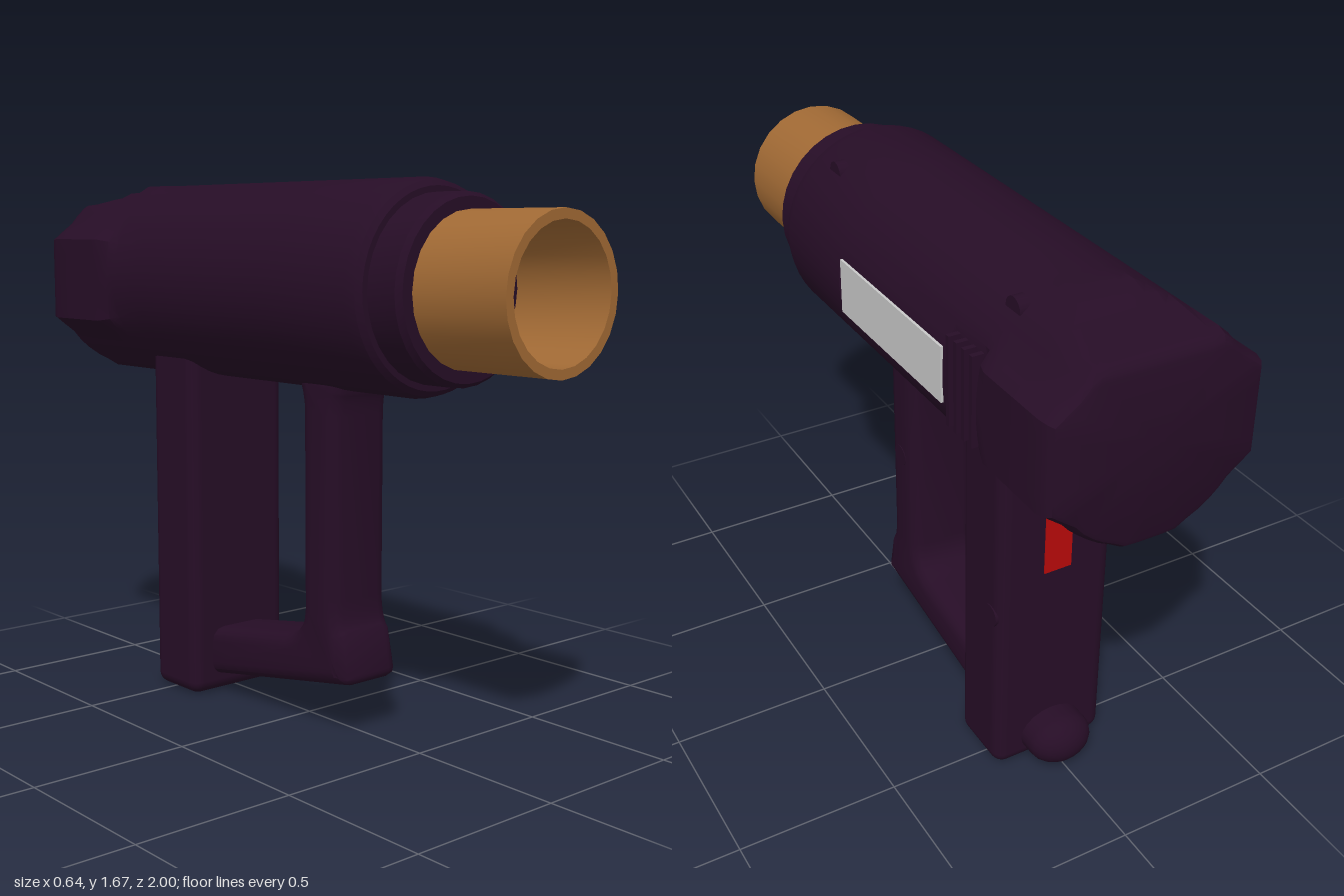
import * as THREE from 'three';
import { toCreasedNormals } from 'three/addons/utils/BufferGeometryUtils.js';
import { RoundedBoxGeometry } from 'three/addons/geometries/RoundedBoxGeometry.js';

const AXIS_Y = 1.362; // height of the barrel axis
const R = 0.31;       // barrel radius

const material = (name, color) => {
  const m = new THREE.MeshStandardMaterial({ color });
  m.name = name;
  return m;
};

// Radius of the housing at an angle: round at the front (k = 0), flat-sided at the rear (k = 1)
function housingRadius(angle, k) {
  const c = Math.abs(Math.cos(angle)) + 1e-6, s = Math.abs(Math.sin(angle)) + 1e-6;
  const flat = Math.max(R, Math.min(0.32 / c, 0.297 / (0.588 * c + 0.809 * s), R / s));
  return R + (flat - R) * k;
}

// Housing lofted front to back; each ring is [z, scale, rear blend, top limit, left side limit]
function housingGeometry() {
  const rings = [
    [0.55, 0, 0, 1, 1], [0.55, 0.92, 0, 1, 1], [0.535, 0.97, 0, 1, 1], [0.5, 1, 0, 1, 1],
    [0.15, 1, 0, 1, 1], [0.145, 1, 0, 1, 0.302],
    [-0.475, 1, 0, 1, 0.302], [-0.478, 1, 0, 1, 0.275],
    [-0.62, 1, 0, 1, 0.275], [-0.65, 1, 0.4, 1, 0.275], [-0.655, 1, 0.5, 1, 1],
    [-0.70, 1, 1, 1, 1], [-0.74, 1, 1, 0.308, 1], [-0.79, 1, 1, 0.285, 1],
    [-0.83, 1, 1, 0.265, 1], [-0.95, 1, 1, 0.25, 1], [-0.98, 0.975, 1, 0.24, 1],
    [-0.995, 0.94, 1, 0.225, 1], [-1, 0.9, 1, 0.21, 1], [-1, 0, 1, 1, 1],
  ];
  const N = 48, pos = [], idx = [];
  for (const [z, scale, k, top, side] of rings) {
    for (let j = 0; j < N; j++) {
      const a = (j / N) * Math.PI * 2, r = housingRadius(a, k) * scale;
      pos.push(Math.min(r * Math.cos(a), side), AXIS_Y + Math.min(r * Math.sin(a), top), z);
    }
  }
  for (let i = 0; i < rings.length - 1; i++) {
    for (let j = 0; j < N; j++) {
      const a = i * N + j, b = i * N + (j + 1) % N;
      if (i > 0) idx.push(a, a + N, b);
      if (i < rings.length - 2) idx.push(b, a + N, b + N);
    }
  }
  const g = new THREE.BufferGeometry();
  g.setAttribute('position', new THREE.Float32BufferAttribute(pos, 3));
  g.setIndex(idx);
  return toCreasedNormals(g, 0.5);
}

// Profile of [radius, z] points turned about the barrel axis
function turned(points, sides) {
  const g = new THREE.LatheGeometry(points.map(([r, z]) => new THREE.Vector2(r, z)), sides);
  g.rotateX(Math.PI / 2).translate(0, AXIS_Y, 0);
  return toCreasedNormals(g, 0.5);
}

// Front guard and lower bar: side outline (z, y) extruded across x with rounded edges
function guardGeometry() {
  const shape = new THREE.Shape();
  shape.moveTo(0.25, 1.12);
  shape.lineTo(0.25, 1.05);
  shape.quadraticCurveTo(0.24, 1.03, 0.238, 0.98);
  shape.lineTo(0.238, 0.42);
  shape.quadraticCurveTo(0.24, 0.34, 0.265, 0.325);
  shape.lineTo(0.292, 0.2);
  shape.quadraticCurveTo(0.295, 0.175, 0.27, 0.168);
  shape.lineTo(-0.42, 0.05);
  shape.lineTo(-0.42, 0.21);
  shape.lineTo(0.0, 0.28);
  shape.quadraticCurveTo(0.085, 0.295, 0.088, 0.38);
  shape.lineTo(0.085, 1.0);
  shape.quadraticCurveTo(0.08, 1.04, 0.07, 1.06);
  shape.lineTo(0.07, 1.12);
  const bevel = 0.045, width = 0.23;
  const g = new THREE.ExtrudeGeometry(shape, {
    depth: width - 2 * bevel, bevelSize: bevel, bevelThickness: bevel,
    bevelOffset: -bevel, bevelSegments: 3, curveSegments: 5,
  });
  g.translate(0, 0, -(width - 2 * bevel) / 2).rotateY(-Math.PI / 2);
  return toCreasedNormals(g, 0.7);
}

export function createModel() {
  const plum = material('dark plum plastic', 0x260d26);
  const copper = material('copper', 0xa06934);
  const grey = material('label grey', 0xc8c8c8);
  const red = material('switch red', 0xb80a0a);

  const model = new THREE.Group();
  model.name = 'heatGun';
  const add = (name, geometry, mat, x = 0, y = 0, z = 0) => {
    const mesh = new THREE.Mesh(geometry, mat);
    mesh.name = name;
    mesh.position.set(x, y, z);
    model.add(mesh);
    return mesh;
  };

  // Barrel
  add('housing', housingGeometry(), plum);
  add('collar', turned([[0.268, 0.5], [0.268, 0.655], [0.255, 0.672], [0, 0.672]], 32), plum);
  add('nozzle', turned([[0.22, 0.6], [0.22, 1], [0.192, 1], [0.192, 0.66]], 24), copper);

  // Side label and cooling fins
  add('label', new THREE.BoxGeometry(0.008, 0.168, 0.6), grey, 0.304, 1.363, -0.16);
  for (const z of [-0.495, -0.535, -0.575, -0.615]) {
    add('ventFin', new THREE.BoxGeometry(0.06, 0.27, 0.016), plum, 0.278, 1.362, z);
  }

  // Handle
  add('grip', new RoundedBoxGeometry(0.38, 1.18, 0.227, 3, 0.04), plum, 0, 0.592, -0.4725);
  add('guard', guardGeometry(), plum);
  const knob = add('cordKnob', new THREE.CapsuleGeometry(0.08, 0.1, 6, 20).rotateX(Math.PI / 2),
    plum, 0, 0.09, -0.58);
  knob.scale.x = 1.3;

  // Rear switch: flat plate with a raised slider at its top
  add('switchPlate', new THREE.BoxGeometry(0.09, 0.25, 0.008), red, 0, 0.825, -0.586);
  add('switchSlider', new THREE.BoxGeometry(0.09, 0.06, 0.02), red, 0, 0.92, -0.59);

  // Screw bosses on the left side: [x, y, z]
  const screws = [
    [0.18, 1.6, 0.39], [0.18, 1.155, 0.39], [0.18, 1.605, -0.63], [0.18, 1.155, -0.63],
    [0.1, 0.7, 0.165], [0.176, 0.57, -0.535], [0.1, 0.15, -0.31],
  ];
  for (const [x, y, z] of screws) {
    add('screw', new THREE.CylinderGeometry(0.035, 0.035, 0.034, 16).rotateZ(Math.PI / 2), plum, x, y, z);
  }
  return model;
}
